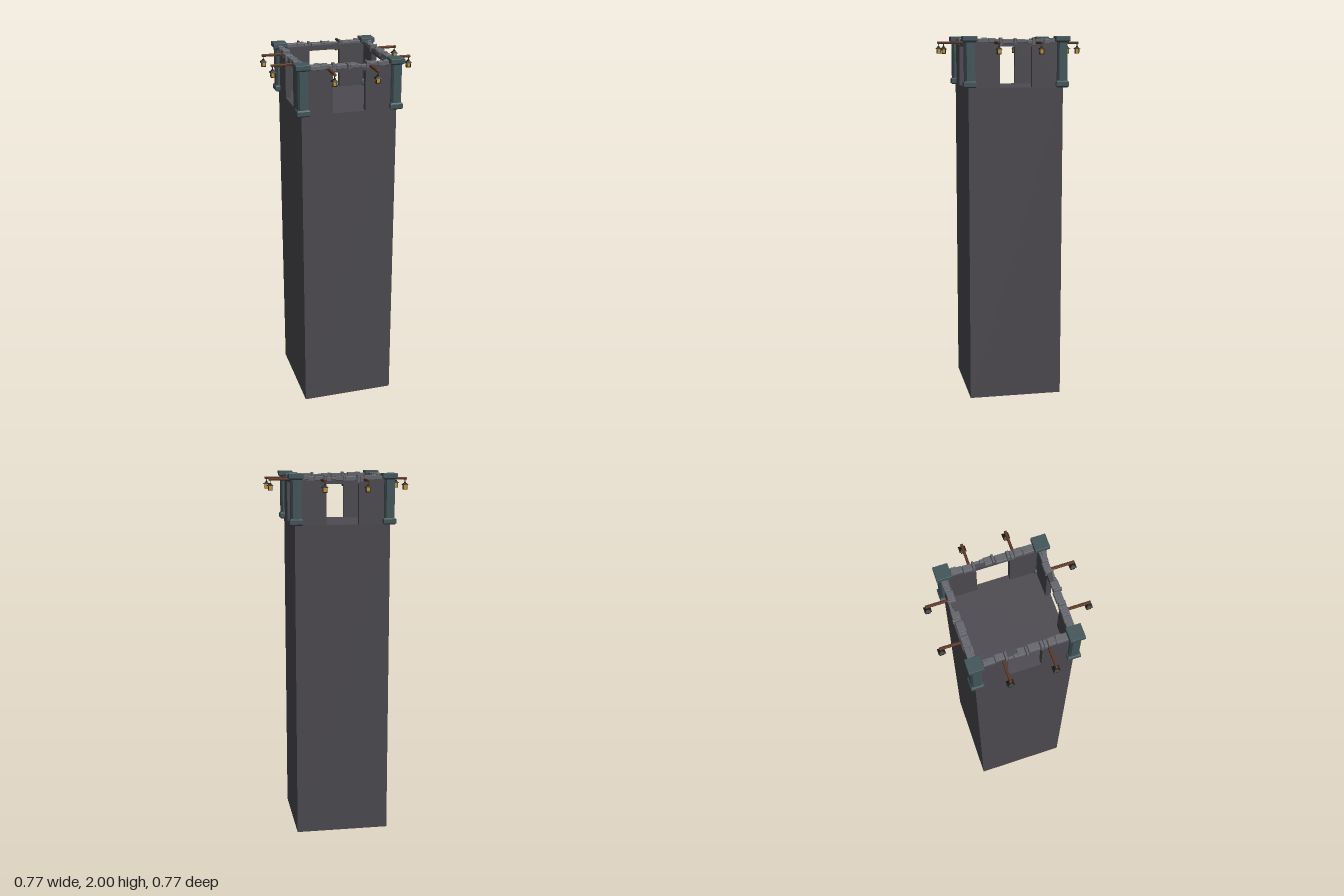
import * as THREE from 'three';

const mat = (color, side = THREE.FrontSide) =>
  new THREE.MeshStandardMaterial({ color, flatShading: true, side });
const WALL = mat(0x4d4b51, THREE.DoubleSide);
const STONE = mat(0x65676e);
const PILLAR = mat(0x43565b);
const WOOD = mat(0x5a3420);
const IRON = mat(0x1d1b1b);
const GLOW = mat(0xd9a02a);

const HALF = 0.257;      // half width of the tower
const FLOOR = 1.73;      // height of the lookout floor
const WALL_TOP = 1.972;
const THICK = 0.028;

function add(parent, name, geometry, material, x = 0, y = 0, z = 0) {
  const mesh = new THREE.Mesh(geometry, material);
  mesh.name = name;
  mesh.position.set(x, y, z);
  parent.add(mesh);
  return mesh;
}

// Box with chamfered edges, centred on its own origin
function chamferBox(w, h, d, c) {
  const x = w / 2 - c, z = d / 2 - c;
  const s = new THREE.Shape([[-x, -z], [x, -z], [x, z], [-x, z]].map(p => new THREE.Vector2(...p)));
  const g = new THREE.ExtrudeGeometry(s, {
    depth: h - 2 * c, bevelEnabled: true, bevelSize: c, bevelThickness: c, bevelSegments: 1,
  });
  return g.translate(0, 0, -h / 2 + c).rotateX(-Math.PI / 2);
}

// Square tapered block: half widths at the bottom and the top
function taper(bottom, top, height) {
  return new THREE.CylinderGeometry(top * Math.SQRT2, bottom * Math.SQRT2, height, 4).rotateY(Math.PI / 4);
}

// Shaft: hollow, open below, closed by the lookout floor
function makeShaft() {
  const g = new THREE.Group();
  g.name = 'towerShaft';
  for (let i = 0; i < 4; i++) {
    const side = new THREE.PlaneGeometry(HALF * 2, FLOOR);
    side.translate(0, FLOOR / 2, HALF).rotateY(i * Math.PI / 2);
    add(g, 'shaftSide', side, WALL);
  }
  add(g, 'lookoutFloor', new THREE.PlaneGeometry(HALF * 2, HALF * 2).rotateX(-Math.PI / 2), WALL, 0, FLOOR, 0);
  return g;
}

// Lookout wall with one window; the four meet pinwheel fashion
function makeWindowWall() {
  const rect = (C, a, b, c, d) => new C([[a, b], [c, b], [c, d], [a, d]].map(p => new THREE.Vector2(...p)));
  const shape = rect(THREE.Shape, -HALF, FLOOR, HALF - THICK, WALL_TOP);
  shape.holes.push(rect(THREE.Path, -0.088, FLOOR + 0.001, 0.086, 1.945));
  return new THREE.ExtrudeGeometry(shape, { depth: THICK, bevelEnabled: false })
    .translate(0, 0, HALF - THICK);
}

// Coping stones: [start, end, inner, outer, bottom, top], across measured from the row's middle
const STONES = [
  [-0.209, -0.151, -0.019, 0.02, 1.964, 1.987],
  [-0.181, -0.153, -0.021, -0.004, 1.97, 1.992],
  [-0.150, -0.111, -0.019, 0.02, 1.966, 1.99],
  [-0.109, -0.092, -0.019, 0.02, 1.956, 1.984],
  [-0.089, -0.074, -0.016, 0.02, 1.95, 1.992],
  [-0.071, -0.015, -0.02, 0.019, 1.962, 1.984],
  [-0.011, 0.000, -0.013, 0.028, 1.958, 1.988],
  [0.003, 0.040, -0.016, 0.024, 1.964, 1.985],
  [0.036, 0.060, 0.004, 0.022, 1.966, 1.981],
  [0.062, 0.088, 0.008, 0.02, 1.96, 1.979],
  [0.090, 0.101, -0.019, 0.02, 1.952, 1.992],
  [0.104, 0.149, -0.02, 0.015, 1.965, 1.986],
  [0.152, 0.210, -0.014, 0.018, 1.963, 1.985],
  [0.180, 0.208, -0.004, 0.02, 1.968, 1.991],
];

function makeStoneRow() {
  const row = new THREE.Group();
  row.name = 'copingStones';
  for (const [a, b, i, o, y0, y1] of STONES)
    add(row, 'copingStone', chamferBox(b - a, y1 - y0, o - i, 0.002), STONE,
      (a + b) / 2, (y0 + y1) / 2, (i + o) / 2);
  return row;
}

// Corner pillar: base, chamfered shaft and square cap
function makePillar() {
  const g = new THREE.Group();
  g.name = 'cornerPillar';
  add(g, 'pillarBase', chamferBox(0.068, 0.036, 0.068, 0.007), PILLAR, 0, 1.748, 0);
  const h = 0.028, c = 0.01;
  const octagon = new THREE.Shape([
    [-h + c, -h], [h - c, -h], [h, -h + c], [h, h - c],
    [h - c, h], [-h + c, h], [-h, h - c], [-h, -h + c],
  ].map(p => new THREE.Vector2(...p)));
  const shaft = new THREE.ExtrudeGeometry(octagon, { depth: 0.22, bevelEnabled: false }).rotateX(-Math.PI / 2);
  add(g, 'pillarShaft', shaft, PILLAR, 0, 1.758, 0);
  add(g, 'pillarCapNeck', taper(0.028, 0.036, 0.008), PILLAR, 0, 1.971, 0);
  add(g, 'pillarCap', chamferBox(0.076, 0.026, 0.076, 0.002), PILLAR, 0, 1.987, 0);
  return g;
}

// Hanging lantern, origin at the middle of its roof's lower edge
function makeLantern() {
  const g = new THREE.Group();
  g.name = 'lantern';
  add(g, 'lanternHook', new THREE.BoxGeometry(0.004, 0.02, 0.004), IRON, 0, 0.022, 0);
  add(g, 'lanternRoof', taper(0.0175, 0.006, 0.011), IRON, 0, 0.0055, 0);
  add(g, 'lanternFinial', new THREE.BoxGeometry(0.01, 0.006, 0.01), IRON, 0, 0.013, 0);
  add(g, 'lanternGlass', taper(0.008, 0.0105, 0.022), GLOW, 0, -0.011, 0);
  add(g, 'lanternBase', new THREE.BoxGeometry(0.021, 0.004, 0.021), IRON, 0, -0.023, 0);
  for (const x of [-1, 1]) for (const z of [-1, 1])
    add(g, 'lanternPost', new THREE.BoxGeometry(0.003, 0.024, 0.003), IRON, x * 0.0095, -0.011, z * 0.0095);
  return g;
}

// Beam reaching out from the wall with its lantern
function makeBeam(x) {
  const g = new THREE.Group();
  g.name = 'lanternBeam';
  add(g, 'beam', chamferBox(0.013, 0.013, 0.145, 0.002), WOOD, 0, 1.966, 0.306);
  const lantern = makeLantern();
  lantern.position.set(0, 1.931, 0.37);
  g.add(lantern);
  g.position.x = x;
  return g;
}

export function createModel() {
  const model = new THREE.Group();
  model.name = 'watchtower';
  model.add(makeShaft());

  for (let i = 0; i < 4; i++) {
    const side = new THREE.Group();
    side.name = ['frontSide', 'leftSide', 'backSide', 'rightSide'][i];
    add(side, 'windowWall', makeWindowWall(), WALL);

    // The stone order runs the same way on opposite sides
    const row = makeStoneRow();
    row.position.z = [0.241, 0.242, 0.25, 0.248][i];
    if (i > 1) row.rotation.y = 0;
    if (i > 1) row.children.forEach(s => { s.position.x *= -1; });
    side.add(row);

    side.add(makeBeam(-0.113), makeBeam(0.113));
    side.rotation.y = i * Math.PI / 2;
    model.add(side);
  }

  for (const x of [-1, 1]) for (const z of [-1, 1]) {
    const pillar = makePillar();
    pillar.position.set(x * 0.25, 0, z * 0.25);
    model.add(pillar);
  }
  return model;
}
